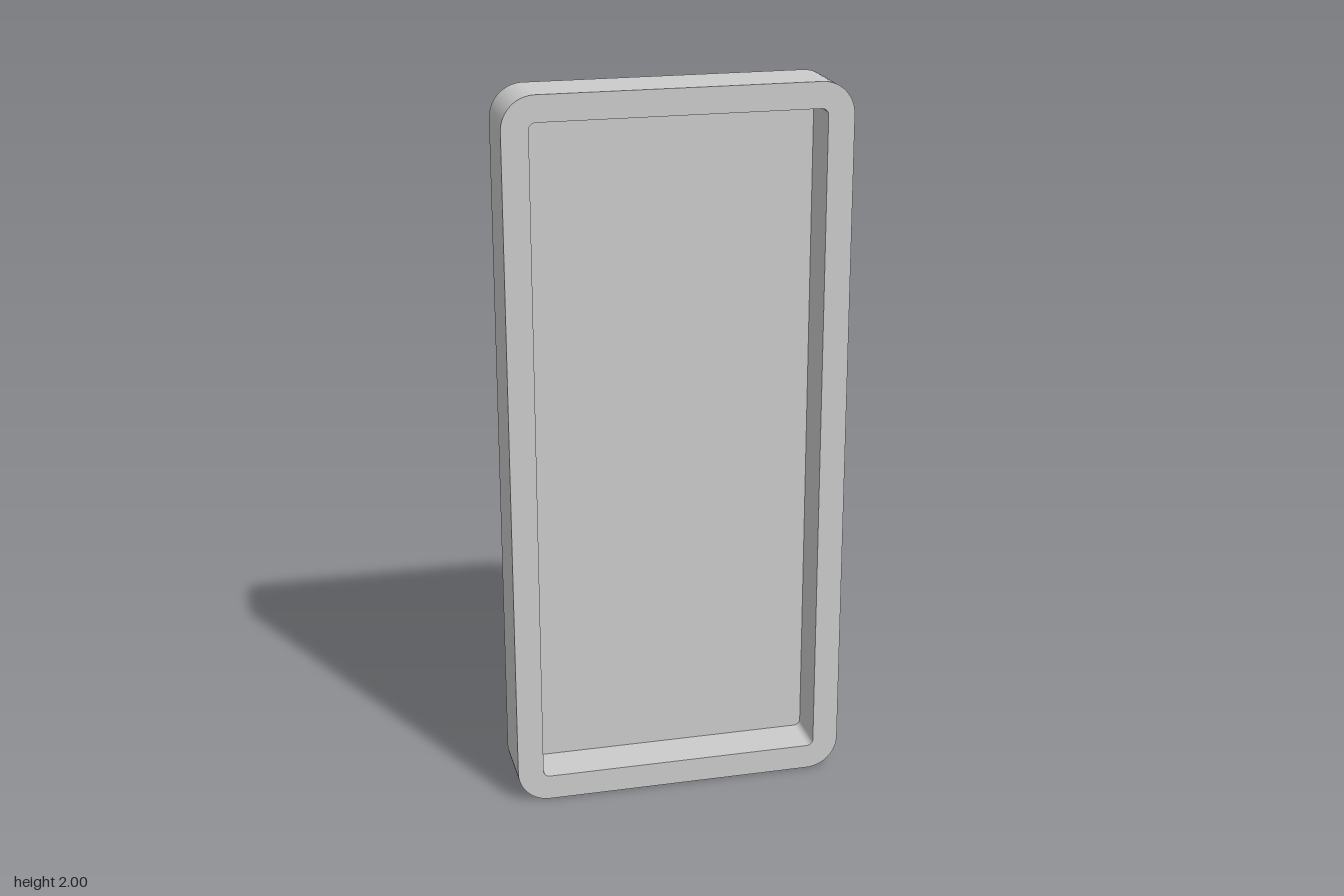
import * as THREE from 'three';

const FRONT = 0.0885, BACK = -0.0885, PANEL = -0.042;
const material = new THREE.MeshStandardMaterial({ color: 0xcccccc, side: THREE.DoubleSide });

// Rounded rectangle centred on (0, 1), as points with outward normals
function outline(halfW, halfH, r, steps = 16) {
  const pts = [];
  [[1, 1], [-1, 1], [-1, -1], [1, -1]].forEach(([sx, sy], corner) => {
    for (let i = 0; i <= steps; i++) {
      const a = (corner + i / steps) * Math.PI / 2;
      const n = new THREE.Vector2(Math.cos(a), Math.sin(a));
      pts.push({ n, p: new THREE.Vector2(sx * (halfW - r) + r * n.x, 1 + sy * (halfH - r) + r * n.y) });
    }
  });
  return pts;
}

// Thin wall along an outline between two depths; sign -1 faces it inward
function wall(pts, z0, z1, sign) {
  const pos = [], nor = [], idx = [];
  pts.forEach(({ p, n }, i) => {
    pos.push(p.x, p.y, z0, p.x, p.y, z1);
    for (let k = 0; k < 2; k++) nor.push(sign * n.x, sign * n.y, 0);
    const a = 2 * i, b = 2 * ((i + 1) % pts.length);
    if (sign > 0) idx.push(a, b, b + 1, a, b + 1, a + 1);
    else idx.push(a, b + 1, b, a, a + 1, b + 1);
  });
  const g = new THREE.BufferGeometry();
  g.setAttribute('position', new THREE.Float32BufferAttribute(pos, 3));
  g.setAttribute('normal', new THREE.Float32BufferAttribute(nor, 3));
  g.setIndex(idx);
  return g;
}

export function createModel() {
  const group = new THREE.Group();
  group.name = 'shallowTray';
  const add = (name, geometry, z = 0) => {
    const mesh = new THREE.Mesh(geometry, material);
    mesh.name = name;
    mesh.position.z = z;
    group.add(mesh);
  };

  const outer = outline(0.468, 1, 0.09);
  const inner = outline(0.396, 0.929, 0.018);

  // Outer skirt, open at the back
  add('outerWall', wall(outer, BACK, FRONT, 1));

  // Recess walls, from the front rim to the panel
  add('recessWall', wall(inner, PANEL, FRONT, -1));

  // Flat front rim
  const rim = new THREE.Shape(outer.map(o => o.p));
  rim.holes.push(new THREE.Path(inner.map(o => o.p)));
  add('frontRim', new THREE.ShapeGeometry(rim), FRONT);

  // Floor of the recess
  add('recessPanel', new THREE.ShapeGeometry(new THREE.Shape(inner.map(o => o.p))), PANEL);

  return group;
}
